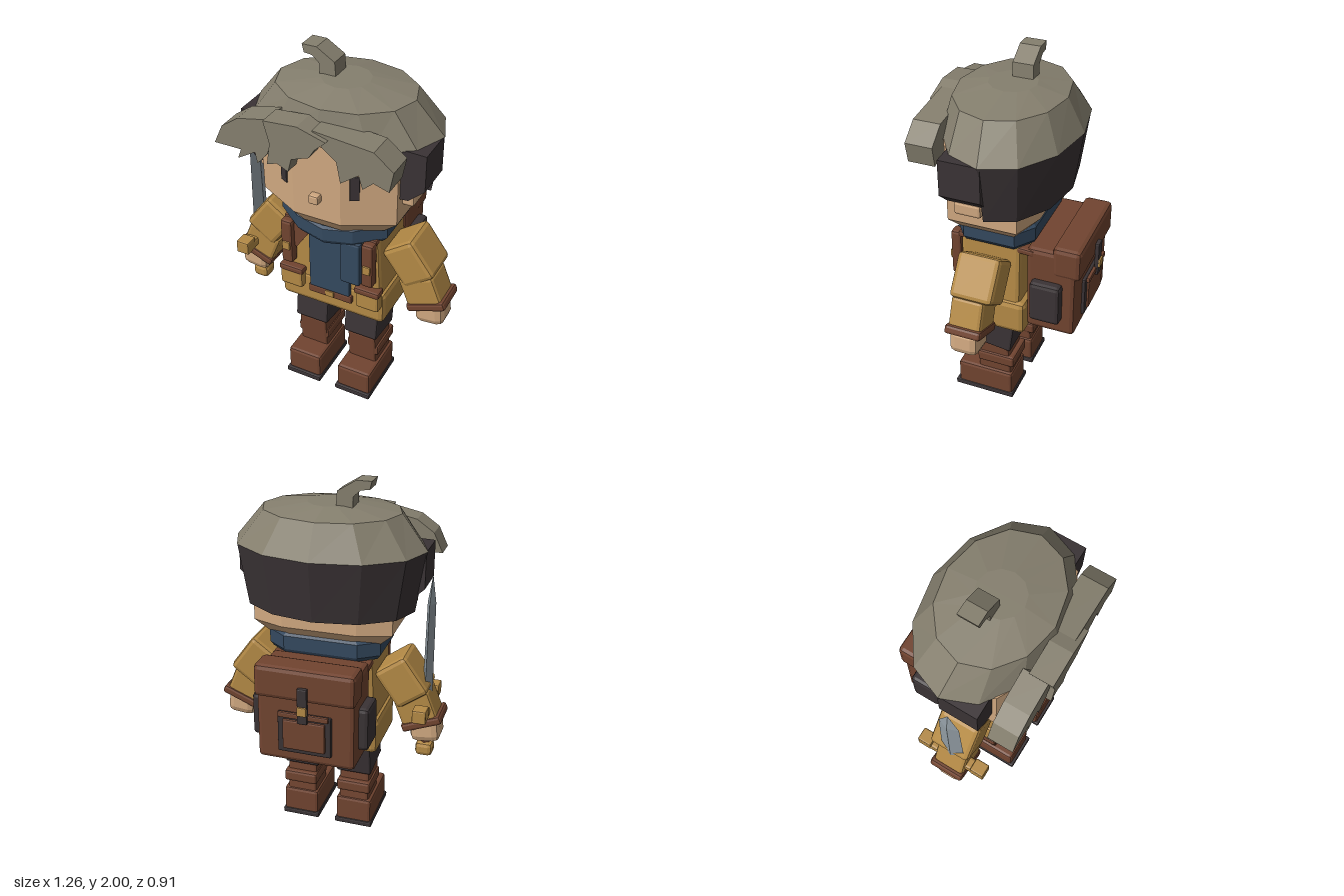
import * as THREE from 'three';
import { RoundedBoxGeometry } from 'three/addons/geometries/RoundedBoxGeometry.js';

const mat = (name, color) => {
  const m = new THREE.MeshStandardMaterial({ color, flatShading: true });
  m.name = name;
  return m;
};

// Solid lofted through closed rings, listed bottom to top, each counter-clockwise from above
function loft(rings) {
  const n = rings[0].length, pos = rings.flat(2), idx = [];
  for (let r = 0; r < rings.length - 1; r++)
    for (let j = 0; j < n; j++) {
      const a = r * n + j, b = r * n + (j + 1) % n;
      idx.push(a, b, b + n, a, b + n, a + n);
    }
  const mid = ring => [0, 1, 2].map(k => ring.reduce((s, p) => s + p[k], 0) / n);
  const top = (rings.length - 1) * n, c = rings.length * n;
  pos.push(...mid(rings[0]), ...mid(rings[rings.length - 1]));
  for (let j = 0; j < n; j++) {
    const k = (j + 1) % n;
    idx.push(c, k, j, c + 1, top + j, top + k);
  }
  const g = new THREE.BufferGeometry();
  g.setAttribute('position', new THREE.Float32BufferAttribute(pos, 3));
  g.setIndex(idx);
  g.computeVertexNormals();
  return g;
}

// Twelve-sided ellipse, or part of it
function ellipse(y, rx, rz, cz, from = 0, steps = 12) {
  return Array.from({ length: steps }, (_, i) => {
    const a = (from + i) * Math.PI / 6;
    return [rx * Math.sin(a), y, cz + rz * Math.cos(a)];
  });
}

export function createModel() {
  const root = new THREE.Group();
  root.name = 'adventurer';
  const skin = mat('skin', 0xd0a880), hair = mat('hair', 0x857f6e), dark = mat('charcoal', 0x3a3335);
  const gold = mat('ochre cloth', 0xb48a46), brown = mat('brown leather', 0x714430);
  const blue = mat('blue wool', 0x34495f), steel = mat('steel', 0x919ca3);

  const add = (name, geo, material, x = 0, y = 0, z = 0, rx = 0, ry = 0, rz = 0) => {
    const m = new THREE.Mesh(geo, material);
    m.name = name;
    m.position.set(x, y, z);
    m.rotation.set(rx, ry, rz);
    root.add(m);
    return m;
  };
  // Chamfered box: size, then position and rotation
  const box = (name, material, [w, h, d], [x, y, z], [rx, ry, rz] = [0, 0, 0], bevel = 0.015) =>
    add(name, new RoundedBoxGeometry(w, h, d, 1, Math.min(bevel, w * 0.3, h * 0.3, d * 0.3)), material, x, y, z, rx, ry, rz);
  const slab = (name, material, pts, z0, z1) => {
    const shape = new THREE.Shape(pts.map(p => new THREE.Vector2(...p)));
    return add(name, new THREE.ExtrudeGeometry(shape, { depth: z1 - z0, bevelEnabled: false }), material, 0, 0, z0);
  };

  // Head: eight-sided plan narrowing at the jaw
  const plan = [[0.13, 0.375], [0.375, 0.25], [0.375, -0.12], [0.2, -0.18]];
  const headPlan = [...plan, ...plan.map(([x, z]) => [-x, z]).reverse()];
  const headRing = (y, s) => headPlan.map(([x, z]) => [x * s, y, 0.1 + (z - 0.1) * s]);
  add('head', loft([headRing(1.165, 0.8), headRing(1.24, 1), headRing(1.66, 1)]), skin);
  box('nose', skin, [0.055, 0.05, 0.06], [0, 1.37, 0.383], undefined, 0.01);

  // Hair: domed crown, shaved back, fringe and a tuft
  add('hairCrown', loft([ellipse(1.655, 0.51, 0.35, 0.02), ellipse(1.83, 0.367, 0.285, 0.045),
    ellipse(1.867, 0.125, 0.125, 0.045)]), hair);
  add('backHair', loft([ellipse(1.33, 0.455, 0.3, 0.02, 3, 7), ellipse(1.655, 0.508, 0.348, 0.02, 3, 7)]), dark);
  slab('fringeRight', hair, [[-0.53, 1.565], [-0.48, 1.67], [-0.386, 1.735], [-0.22, 1.77], [-0.19, 1.71],
    [-0.23, 1.58], [-0.29, 1.51], [-0.3, 1.57], [-0.4, 1.51], [-0.38, 1.565]], 0.295, 0.43);
  slab('fringeMiddle', hair, [[-0.23, 1.775], [-0.05, 1.79], [0.1, 1.745], [0.04, 1.69], [0.01, 1.64],
    [-0.085, 1.605], [-0.105, 1.53], [-0.165, 1.56], [-0.22, 1.54], [-0.2, 1.66]], 0.33, 0.455);
  slab('fringeLeft', hair, [[0.015, 1.775], [0.33, 1.745], [0.43, 1.665], [0.41, 1.555], [0.33, 1.58],
    [0.275, 1.53], [0.255, 1.6], [0.16, 1.53], [0.14, 1.64], [0.065, 1.7]], 0.285, 0.43);
  slab('hairTuft', hair, [[-0.23, 2], [-0.15, 2], [-0.053, 1.94], [-0.047, 1.85], [-0.135, 1.85],
    [-0.135, 1.915], [-0.175, 1.952], [-0.22, 1.957]], -0.04, 0.07);

  // Scarf: thick collar dipping at the front, with two hanging ends
  const collar = [[0, 0.325], [0.16, 0.3], [0.305, 0.2], [0.305, -0.08], [0.2, -0.155]];
  const scarfPlan = [...collar, ...collar.slice(1).reverse().map(([x, z]) => [-x, z])];
  const scarfRing = (y, s, dip) => scarfPlan.map(([x, z]) =>
    [x * s, y - (z > 0.25 ? dip * (1 - Math.abs(x) / 0.32) : 0), 0.08 + (z - 0.08) * s]);
  add('scarf', loft([scarfRing(1.08, 0.94, 0.035), scarfRing(1.105, 1, 0.035),
    scarfRing(1.18, 1, 0.04), scarfRing(1.2, 0.94, 0.05)]), blue);
  box('scarfLongEnd', blue, [0.24, 0.42, 0.035], [0, 0.89, 0.245]);
  box('scarfShortEnd', blue, [0.115, 0.27, 0.045], [0.138, 0.94, 0.272]);

  // Coat
  const torso = box('coatBody', gold, [0.58, 0.4, 0.335], [0, 0.9, 0.067], undefined, 0.025);
  const p = torso.geometry.attributes.position;
  for (let i = 0; i < p.count; i++) p.setX(i, p.getX(i) * (0.965 - 0.18 * p.getY(i)));
  box('coatSkirt', gold, [0.62, 0.2, 0.37], [0, 0.64, 0.052], undefined, 0.03);
  box('belt', brown, [0.26, 0.05, 0.03], [0, 0.657, 0.243]);
  box('beltBuckle', gold, [0.05, 0.035, 0.01], [0, 0.66, 0.26]);
  box('hips', dark, [0.43, 0.1, 0.25], [0, 0.55, 0.05]);
  slab('chestStrap', brown, [[-0.2, 1.075], [-0.085, 1.08], [-0.19, 0.92], [-0.22, 0.94]], 0.23, 0.265);

  // Backpack
  box('packBody', brown, [0.53, 0.51, 0.27], [0, 0.835, -0.262], undefined, 0.025);
  box('packLid', brown, [0.54, 0.18, 0.155], [0, 1.035, -0.345], undefined, 0.025);
  box('packPocketFrame', dark, [0.29, 0.23, 0.03], [0, 0.76, -0.4]);
  box('packPocket', brown, [0.23, 0.17, 0.03], [0, 0.755, -0.412]);
  box('packClasp', dark, [0.055, 0.2, 0.025], [0, 0.935, -0.433]);
  box('packClaspPlate', brown, [0.27, 0.03, 0.02], [0, 0.87, -0.425]);
  box('packBuckle', gold, [0.05, 0.05, 0.02], [0, 0.91, -0.445]);

  // Paired parts
  for (const s of [1, -1]) {
    const side = s > 0 ? 'left' : 'right';
    box(side + 'Eye', dark, [0.048, 0.135, 0.012], [s * 0.193, 1.457, 0.345], [0, s * 0.472, 0], 0.003);
    box(side + 'Ear', skin, [0.1, 0.075, 0.145], [s * 0.385, 1.36, 0.115]);
    slab(side + 'SideLock', dark, [[0.365, 1.66], [0.503, 1.655], [0.503, 1.46], [0.42, 1.385], [0.365, 1.38]]
      .map(([x, y]) => [s * x, y]), 0.01, 0.225);

    box(side + 'UpperArm', gold, [0.2, 0.24, 0.235], [s * 0.41, 0.945, 0.062], [0, 0, s * 0.63], 0.025);
    box(side + 'Forearm', gold, [0.2, 0.19, 0.18], [s * 0.483, 0.775, 0.08], [0, 0, s * 0.38], 0.02);
    box(side + 'Cuff', brown, [0.225, 0.05, 0.2], [s * 0.52, 0.7, 0.08], [0, 0, s * 0.38]);
    box(side + 'Hand', skin, [0.165, 0.15, 0.165], [s * 0.533, 0.652, 0.085], [0, 0, s * 0.1], 0.04);

    box(side + 'StrapFront', brown, [0.068, 0.27, 0.06], [s * 0.235, 0.955, 0.265]);
    box(side + 'StrapTop', brown, [0.068, 0.035, 0.42], [s * 0.235, 1.07, 0.04], [-0.06, 0, 0]);
    box(side + 'StrapClip', gold, [0.045, 0.05, 0.015], [s * 0.235, 0.935, 0.297]);
    box(side + 'PackPouch', dark, [0.07, 0.24, 0.17], [s * 0.283, 0.79, -0.245], undefined, 0.025);
    box(side + 'BeltPouch', gold, [0.135, 0.11, 0.06], [s * 0.228, 0.7, 0.245]);
    box(side + 'BeltPouchFlap', brown, [0.145, 0.038, 0.07], [s * 0.226, 0.76, 0.245]);

    box(side + 'Thigh', dark, [0.2, 0.21, 0.23], [s * 0.153, 0.455, 0.072], [-0.13, 0, 0], 0.012);
    box(side + 'BootShaft', brown, [0.172, 0.23, 0.195], [s * 0.155, 0.255, 0.077], [0.08, 0, 0]);
    box(side + 'BootBand', brown, [0.195, 0.07, 0.22], [s * 0.157, 0.255, 0.06]);
    box(side + 'BootFoot', brown, [0.205, 0.155, 0.33], [s * 0.157, 0.093, 0.125], undefined, 0.018);
    box(side + 'BootSole', dark, [0.217, 0.032, 0.355], [s * 0.157, 0.016, 0.13], undefined, 0.008);
  }

  // Sword in the right hand: diamond blade, wide guard, short grip
  const sx = -0.53, sz = 0.077;
  add('swordBlade', new THREE.CylinderGeometry(0.058, 0.072, 0.58, 4), steel, sx, 1.08, sz).scale.x = 0.38;
  add('swordTip', new THREE.ConeGeometry(0.058, 0.15, 4), steel, sx, 1.445, sz).scale.x = 0.38;
  box('swordGuard', gold, [0.07, 0.055, 0.3], [sx, 0.785, sz]);
  for (const s of [1, -1])
    box('swordGuardEnd', gold, [0.075, 0.075, 0.08], [sx, 0.8, sz + s * 0.165], undefined, 0.008);
  add('swordGrip', new THREE.CylinderGeometry(0.03, 0.03, 0.27, 6), brown, sx, 0.66, sz);
  box('swordPommel', gold, [0.095, 0.08, 0.095], [sx, 0.52, sz], undefined, 0.025);

  return root;
}
